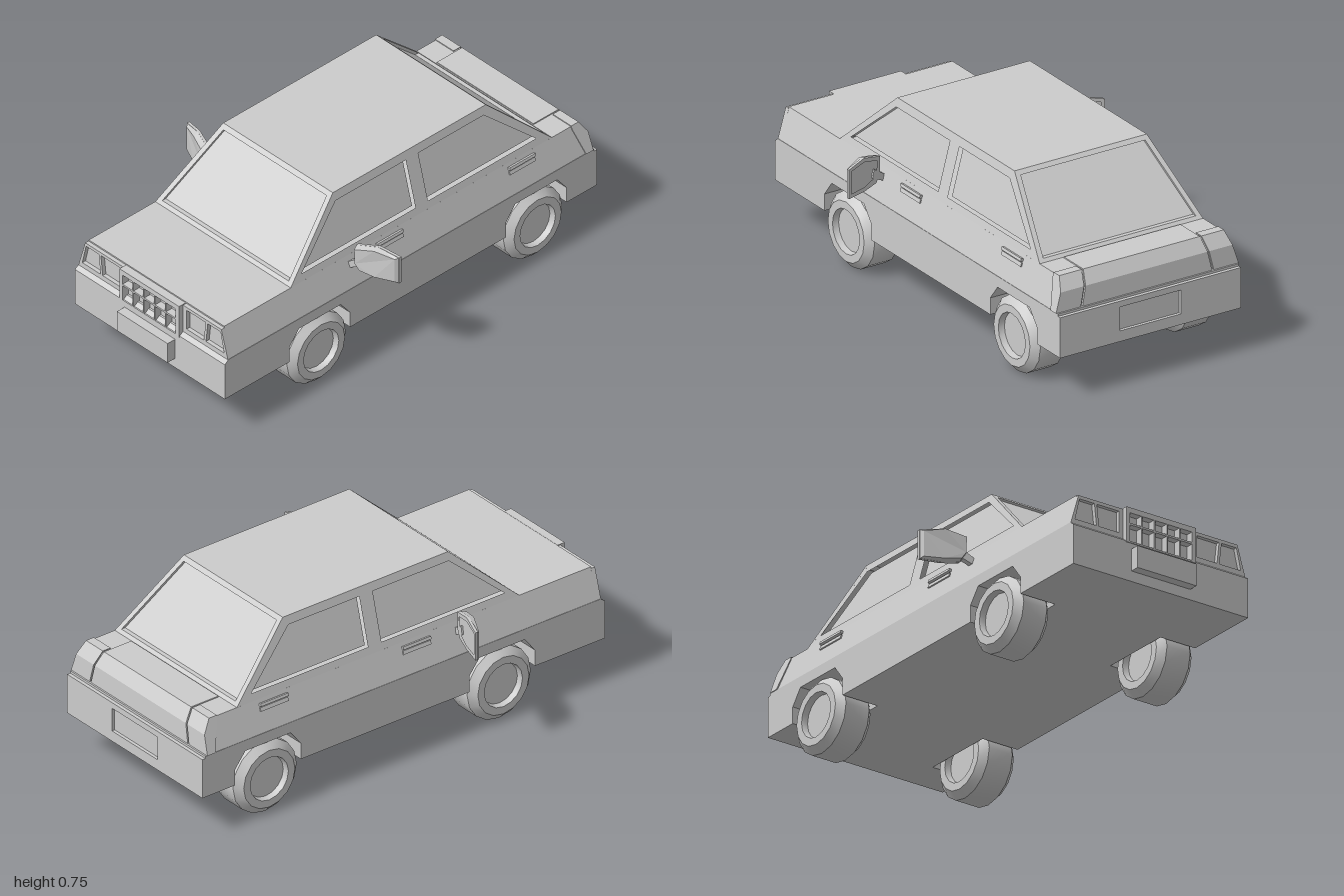
import * as THREE from 'three';
import { toCreasedNormals } from 'three/addons/utils/BufferGeometryUtils.js';

const material = new THREE.MeshStandardMaterial({ color: 0xcccccc });
const glassMaterial = new THREE.MeshStandardMaterial({ color: 0xcccccc, side: THREE.DoubleSide });

const vectors = pts => pts.map(([x, y]) => new THREE.Vector2(x, y));
const flipZ = pts => pts.map(([z, y]) => [-z, y]);
const rect = (x0, x1, y0, y1) => [[x0, y0], [x1, y0], [x1, y1], [x0, y1]];

// Moves every vertex by a rule and gives the faces flat normals
function warp(geometry, rule) {
  const g = geometry.index ? geometry.toNonIndexed() : geometry;
  const p = g.attributes.position;
  for (let i = 0; i < p.count; i++) p.setXYZ(i, ...rule(p.getX(i), p.getY(i), p.getZ(i)));
  g.computeVertexNormals();
  return g;
}

function mesh(name, geometry, mat = material) {
  const m = new THREE.Mesh(geometry, mat);
  m.name = name;
  return m;
}

// A frame with openings, its front at w = 0, and a sunken pane in each opening
function framedPanel(name, outline, holes, depth, rule) {
  const group = new THREE.Group();
  group.name = name;
  const shape = new THREE.Shape(vectors(outline));
  shape.holes = holes.map(h => new THREE.Path(vectors(h)));
  const frame = new THREE.ExtrudeGeometry(shape, { depth, bevelEnabled: false }).translate(0, 0, -depth);
  group.add(mesh(name + 'Frame', warp(frame, rule)));
  for (const h of holes) {
    const pane = new THREE.ShapeGeometry(new THREE.Shape(vectors(h))).translate(0, 0, -depth * 0.9);
    group.add(mesh(name + 'Pane', warp(pane, rule), glassMaterial));
  }
  return group;
}

// Extrudes a side profile of [z, y] points from x0 to x1, narrowing above the shoulder
const narrow = y => 1 - Math.max(0, y - 0.36) * 0.74;
function profile(name, pts, x0, x1) {
  const shape = new THREE.Shape(vectors(flipZ(pts)));
  const g = new THREE.ExtrudeGeometry(shape, { depth: x1 - x0, bevelEnabled: false });
  return mesh(name, warp(g, (u, v, w) => [(w + x0) * narrow(v), v, -u]));
}

function wheel(z) {
  const half = [[0, 0.058], [0.088, 0.058], [0.093, 0.083], [0.125, 0.083], [0.155, 0.055]];
  const pts = [...half.map(([r, a]) => [r, -a]), ...half.reverse()];
  const g = toCreasedNormals(new THREE.LatheGeometry(vectors(pts), 16), 0.5);
  const m = mesh('wheel', g);
  m.rotation.z = -Math.PI / 2;
  m.position.set(0.34, 0.155, z);
  return m;
}

function mirror() {
  const group = new THREE.Group();
  group.name = 'sideMirror';
  const outline = [[0.41, 0.475], [0.43, 0.445], [0.5, 0.434], [0.587, 0.435], [0.587, 0.557], [0.5, 0.575], [0.408, 0.55]];
  const sweep = x => 0.25 - (x - 0.4) * 0.3;
  group.add(framedPanel('mirrorBack', outline.map(([x, y]) => [-x, y]),
    [[[-0.43, 0.475], [-0.5, 0.452], [-0.573, 0.452], [-0.573, 0.545], [-0.5, 0.558], [-0.425, 0.538]]],
    0.012, (u, v, w) => [-u, v, sweep(-u) - w]));
  // Housing narrows toward its front
  const g = new THREE.ExtrudeGeometry(new THREE.Shape(vectors(outline)), { depth: 0.025, bevelEnabled: false });
  group.add(mesh('mirrorHousing', warp(g, (x, y, w) => {
    const s = w > 0.01 ? 0.88 : 1;
    const bulge = w > 0.01 && x > 0.55 ? -0.01 : 0;
    return [0.5 + (x - 0.5) * s, 0.503 + (y - 0.503) * s, sweep(x) + 0.01 + w + bulge];
  })));
  const arm = new THREE.Shape(vectors([[0.36, 0.45], [0.39, 0.44], [0.45, 0.47], [0.44, 0.505], [0.41, 0.485]]));
  const armGeometry = new THREE.ExtrudeGeometry(arm, { depth: 0.022, bevelEnabled: false });
  group.add(mesh('mirrorArm', warp(armGeometry, (x, y, w) => [x, y, sweep(x) + 0.002 + w])));
  return group;
}

function doorHandle(z) {
  const group = new THREE.Group();
  group.name = 'doorHandle';
  for (const [y, h, d] of [[0.008, 0.012, 0.024], [-0.011, 0.016, 0.01]]) {
    const bar = mesh('handleBar', new THREE.BoxGeometry(d, h, 0.135));
    bar.position.y = y;
    group.add(bar);
  }
  group.position.set(0.384, 0.46, z);
  group.rotation.z = 0.3;
  return group;
}

// Everything that exists once on each side
function createSide() {
  const side = new THREE.Group();
  side.name = 'bodySide';
  const arch = z => [[z - 0.16, 0.18], [z - 0.16, 0.25], [z - 0.11, 0.314], [z + 0.11, 0.314], [z + 0.16, 0.25], [z + 0.16, 0.18]];
  side.add(profile('lowerSide', [[-0.985, 0.18], ...arch(-0.68), ...arch(0.46), [0.96, 0.18],
    [0.96, 0.345], [0.94, 0.36], [-0.985, 0.36]], 0.25, 0.415));
  side.add(wheel(0.46), wheel(-0.68), mirror(), doorHandle(0.065), doorHandle(-0.63));

  // Cabin side with two windows
  const outline = [[0.575, 0.49], [0.285, 0.755], [-0.52, 0.755], [-0.8, 0.49]];
  const frontWindow = [[0.51, 0.52], [0.28, 0.72], [-0.09, 0.72], [-0.09, 0.52]];
  const rearWindow = [[-0.155, 0.52], [-0.155, 0.72], [-0.5, 0.72], [-0.725, 0.52]];
  side.add(framedPanel('sideWindow', flipZ(outline), [flipZ(frontWindow), flipZ(rearWindow)], 0.022,
    (u, v, w) => [0.375 - (v - 0.49) * 0.27 + w, v, -u]));

  // Headlights
  side.add(framedPanel('headlight', [[0.16, 0.355], [0.415, 0.355], [0.377, 0.484], [0.16, 0.484]], [
    [[0.185, 0.38], [0.28, 0.38], [0.29, 0.47], [0.185, 0.47]],
    [[0.292, 0.38], [0.393, 0.38], [0.372, 0.47], [0.302, 0.47]],
  ], 0.02, (x, y, w) => [x, y, 0.942 + w]));

  // Tail lamp, wrapping over the rear corner
  side.add(profile('tailLamp', [[-0.9, 0.48], [-0.9, 0.494], [-0.938, 0.494], [-0.973, 0.44],
    [-0.978, 0.36], [-0.94, 0.36]], 0.305, 0.419));
  return side;
}

export function createModel() {
  const car = new THREE.Group();
  car.name = 'car';

  const left = createSide();
  const right = left.clone();
  right.scale.x = -1;
  car.add(left, right);

  // Main body
  car.add(profile('floor', [[-0.985, 0.18], [0.96, 0.18], [0.96, 0.345], [0.94, 0.36], [-0.985, 0.36]], -0.25, 0.25));
  car.add(profile('upperBody', [[0.925, 0.355], [0.925, 0.49], [-0.935, 0.49], [-0.965, 0.44], [-0.97, 0.355]], -0.415, 0.415));
  car.add(profile('trunkLid', [[-0.805, 0.48], [-0.805, 0.494], [-0.938, 0.494], [-0.973, 0.44],
    [-0.978, 0.36], [-0.94, 0.36]], -0.297, 0.297));

  // Roof and the two screens
  const roof = mesh('roof', new THREE.PlaneGeometry(0.607, 0.805), glassMaterial);
  roof.rotation.x = -Math.PI / 2;
  roof.position.set(0, 0.755, -0.1175);
  car.add(roof);
  const screen = [[-0.375, 0.49], [0.375, 0.49], [0.3035, 0.755], [-0.3035, 0.755]];
  const opening = [[-0.355, 0.502], [0.355, 0.502], [0.29, 0.74], [-0.29, 0.74]];
  car.add(framedPanel('windscreen', screen, [opening], 0.02,
    (x, y, w) => [x, y, 0.575 - (y - 0.49) * 1.094 + w]));
  car.add(framedPanel('rearScreen', screen, [opening], 0.02,
    (x, y, w) => [-x, y, -0.8 + (y - 0.49) * 1.057 - w]));

  // Grille with two rows of openings
  const cells = [];
  for (let i = 0; i < 5; i++) {
    const x = -0.148 + i * 0.06;
    cells.push(rect(x, x + 0.054, 0.347, 0.415), rect(x, x + 0.054, 0.423, 0.466));
  }
  car.add(framedPanel('grille', rect(-0.165, 0.165, 0.34, 0.488), cells, 0.035, (x, y, w) => [x, y, 0.963 + w]));

  // Front plate and rear bumper with a sunken plate
  const plate = mesh('frontPlate', new THREE.BoxGeometry(0.28, 0.092, 0.05));
  plate.position.set(0, 0.27, 0.975);
  car.add(plate);
  car.add(framedPanel('rearBumper', [[-0.415, 0.18], [0.415, 0.18], [0.415, 0.35], [-0.415, 0.35]],
    [rect(-0.14, 0.14, 0.225, 0.325)], 0.015, (x, y, w) => [-x, y, -1 - w]));
  return car;
}
